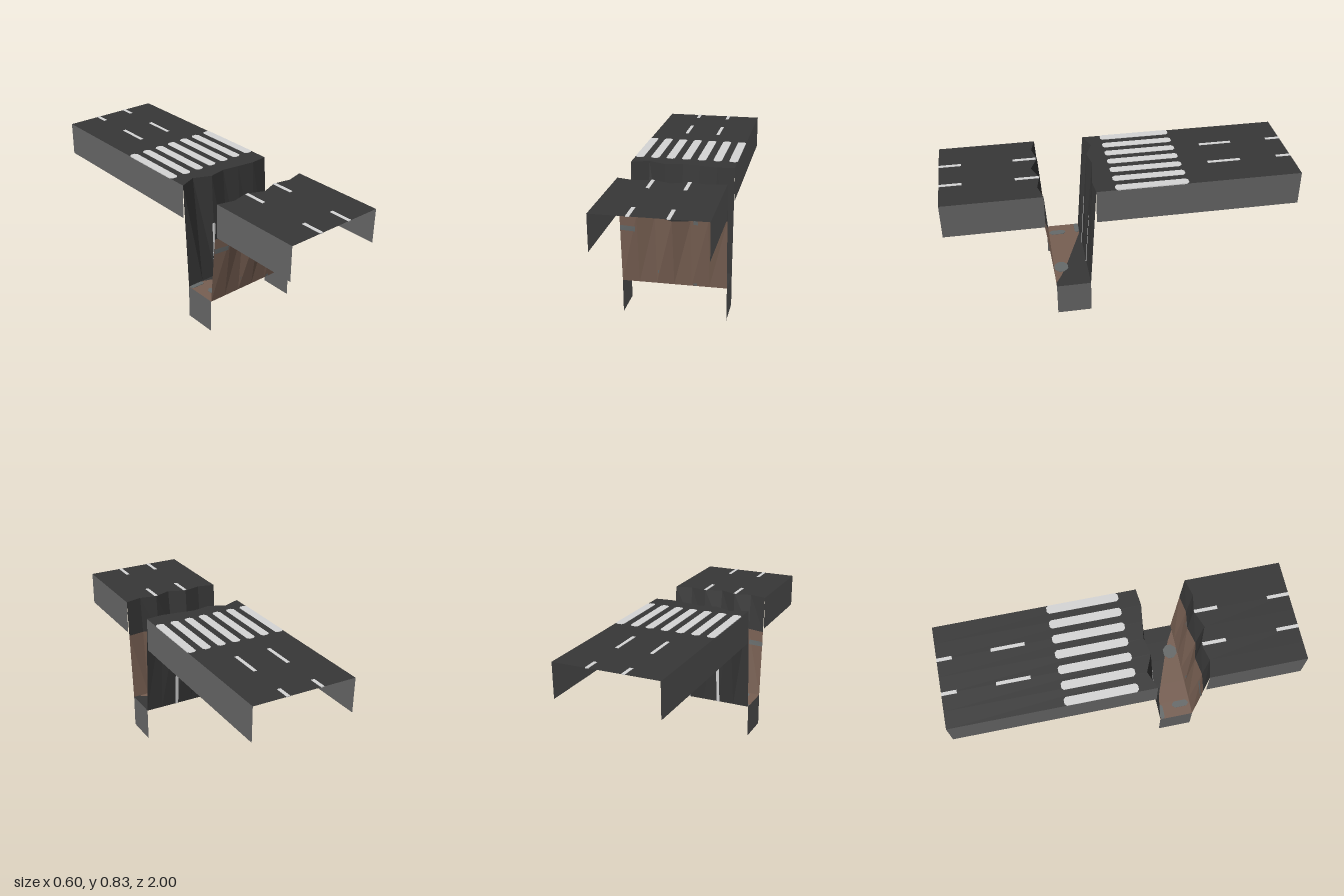
import * as THREE from 'three';

const TOP = 0.83, SKIRT = 0.63, FLOOR = 0.2, HALF = 0.3;
const XS = [-0.3, -0.2, -0.1, 0, 0.1, 0.2, 0.3];
// jagged broken edges of the two road slabs (z at each XS)
const FRONT_EDGE = [0.445, 0.47, 0.445, 0.488, 0.45, 0.47, 0.445];
const BACK_EDGE = [0.157, 0.117, 0.16, 0.14, 0.156, 0.17, 0.16];
// height where asphalt gives way to earth on the front wall
const EARTH_TOP = [0.613, 0.616, 0.617, 0.602, 0.602, 0.613, 0.614];

function mat(name, color) {
  const m = new THREE.MeshStandardMaterial({ color, side: THREE.DoubleSide });
  m.name = name;
  return m;
}

// z of a broken wall at (x, y): jagged at the top, straight at the floor
function wallZ(edge, foot, x, y) {
  const f = THREE.MathUtils.clamp((x + HALF) / 0.1, 0, 6);
  const i = Math.min(5, Math.floor(f));
  const z = THREE.MathUtils.lerp(edge[i], edge[i + 1], f - i);
  return THREE.MathUtils.lerp(foot, z, (y - FLOOR) / (TOP - FLOOR));
}

// faceted sheet between two rows of points
function sheet(a, b) {
  const pos = [];
  for (let i = 0; i < a.length - 1; i++) {
    pos.push(...a[i], ...b[i], ...b[i + 1], ...a[i], ...b[i + 1], ...a[i + 1]);
  }
  const g = new THREE.BufferGeometry();
  g.setAttribute('position', new THREE.Float32BufferAttribute(pos, 3));
  g.computeVertexNormals();
  return g;
}

export function createModel() {
  const group = new THREE.Group();
  const asphalt = mat('asphalt', 0x373737);
  const concrete = mat('concrete', 0x656565);
  const paint = mat('road paint', 0xd6d6d6);
  const earth = mat('earth', 0x775f52);
  const stone = mat('stone', 0x666a6a);

  const add = (name, geometry, material) => {
    const m = new THREE.Mesh(geometry, material);
    m.name = name;
    group.add(m);
    return m;
  };
  // flat painted plate lying through a level surface, visible on both sides
  const plate = (name, x0, x1, z0, z1, y, material, cut = 0) => {
    const s = new THREE.Shape([
      [x0 + cut, z0], [x1 - cut, z0], [x1, z0 + cut], [x1, z1 - cut],
      [x1 - cut, z1], [x0 + cut, z1], [x0, z1 - cut], [x0, z0 + cut],
    ].map(([x, z]) => new THREE.Vector2(x, z)));
    const g = new THREE.ExtrudeGeometry(s, { depth: 0.005, bevelEnabled: false });
    g.rotateX(Math.PI / 2);
    add(name, g, material).position.y = y + 0.0025;
  };
  // patch following a broken wall on both of its sides
  const wallPatch = (name, edge, foot, x0, x1, y0, y1, material) => {
    const xs = [x0, (x0 + x1) / 2, x1];
    for (const o of [-0.003, 0.003]) {
      const row = (y) => xs.map((x) => [x, y, wallZ(edge, foot, x, y) + o]);
      add(name, sheet(row(y0), row(y1)), material);
    }
  };

  // road slabs
  const frontRim = XS.map((x, i) => [x, TOP, FRONT_EDGE[i]]);
  const backRim = XS.map((x, i) => [x, TOP, BACK_EDGE[i]]);
  add('frontRoad', sheet(frontRim, XS.map((x) => [x, TOP, 1])), asphalt);
  add('backRoad', sheet(XS.map((x) => [x, TOP, -1]), backRim), asphalt);

  // walls of the chasm
  const earthRim = XS.map((x, i) => [x, EARTH_TOP[i], wallZ(FRONT_EDGE, 0.4, x, EARTH_TOP[i])]);
  add('frontWallAsphalt', sheet(earthRim, frontRim), asphalt);
  add('frontWallEarth', sheet(XS.map((x) => [x, FLOOR, 0.4]), earthRim), earth);
  add('backWall', sheet(backRim, XS.map((x) => [x, FLOOR, 0.2])), asphalt);

  // chasm floor: asphalt wedge at the back, earth at the front
  const split = [[-0.3, 0.2], [-0.2, 0.205], [-0.08, 0.25], [0.08, 0.31], [0.2, 0.36], [0.27, 0.4], [0.3, 0.4]];
  const mid = split.map(([x, z]) => [x, FLOOR, z]);
  add('floorAsphalt', sheet(split.map(([x]) => [x, FLOOR, 0.2]), mid), asphalt);
  add('floorEarth', sheet(mid, split.map(([x]) => [x, FLOOR, 0.4])), earth);

  // side skirts
  for (const x of [-HALF, HALF]) {
    const skirt = (name, z0, z1, y0, y1) =>
      add(name, sheet([[x, y0, z0], [x, y0, z1]], [[x, y1, z0], [x, y1, z1]]), concrete);
    const e = x < 0 ? 0 : 6;
    skirt('frontSkirt', FRONT_EDGE[e], 1, SKIRT, TOP);
    skirt('backSkirt', -1, BACK_EDGE[e], SKIRT, TOP);
    skirt('floorSkirt', 0.2, 0.4, 0, FLOOR);
  }

  // lane dashes, on the road and down the back wall
  for (const x of [-0.1, 0.1]) {
    for (const [z0, z1] of [[-1, -0.915], [-0.7, -0.51], [0.452, 0.585], [0.875, 1]]) {
      plate('laneDash', x - 0.01, x + 0.01, z0, z1, TOP, paint);
    }
    wallPatch('wallDash', BACK_EDGE, 0.2, x - 0.01, x + 0.01, FLOOR, 0.54, paint);
  }

  // crosswalk bars
  for (let i = 0; i < 7; i++) {
    const c = (i - 3) * 0.0917;
    plate('crosswalkBar', c - 0.025, c + 0.025, -0.357, 0.053, TOP, paint, 0.012);
  }

  // stones in the earth
  plate('floorStone', -0.3, -0.21, 0.203, 0.23, FLOOR, stone, 0.01);
  plate('floorStone', -0.245, -0.205, 0.29, 0.39, FLOOR, stone, 0.015);
  plate('floorStone', 0.08, 0.17, 0.315, 0.395, FLOOR, stone, 0.025);
  wallPatch('wallStone', FRONT_EDGE, 0.4, -0.3, -0.21, 0.52, 0.55, stone);
  wallPatch('wallStone', FRONT_EDGE, 0.4, 0.115, 0.14, 0.583, 0.607, stone);
  wallPatch('wallStone', FRONT_EDGE, 0.4, -0.092, -0.076, 0.265, 0.285, stone);
  wallPatch('wallStone', FRONT_EDGE, 0.4, 0.11, 0.13, 0.203, 0.218, stone);
  return group;
}
